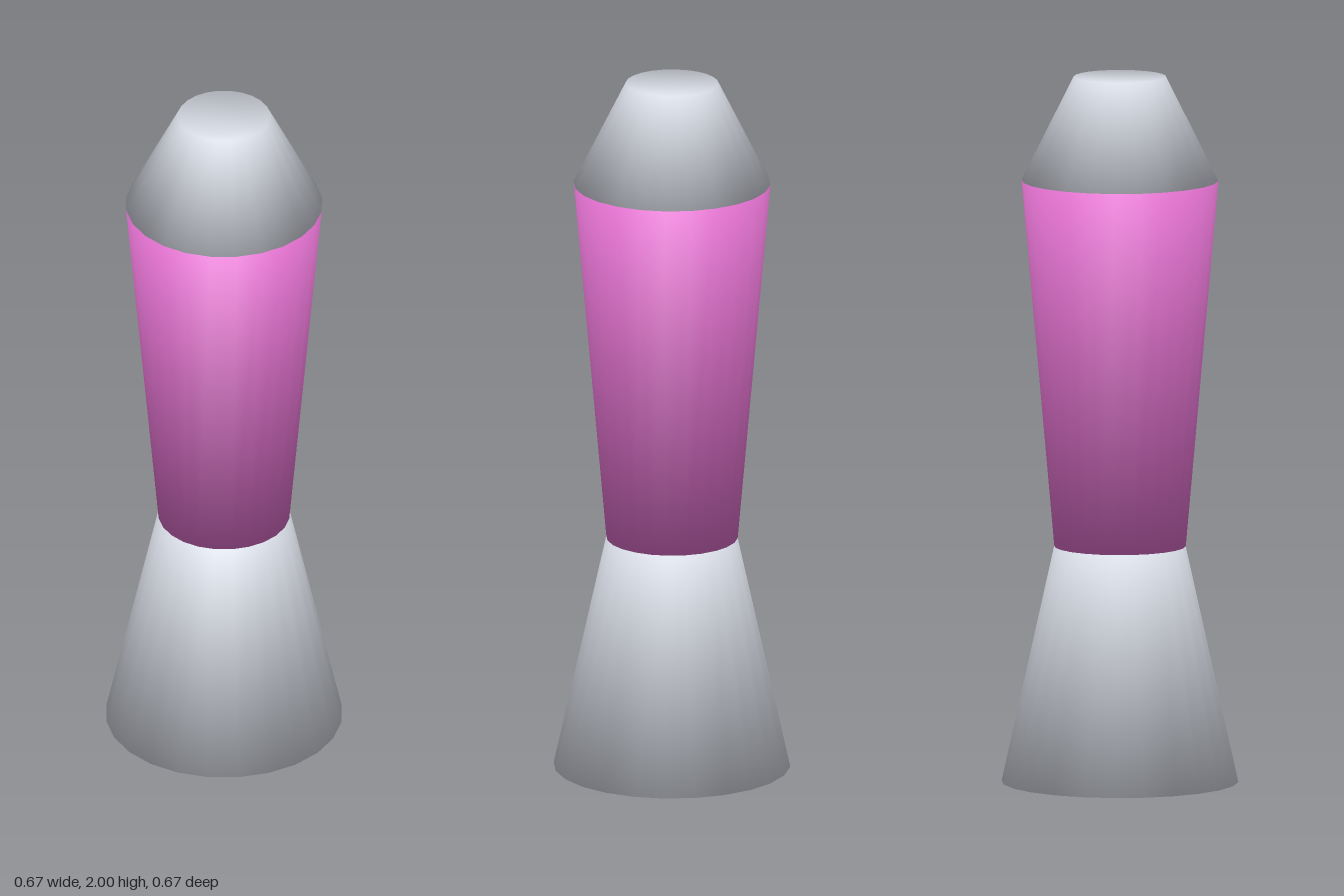
import * as THREE from 'three';

const SIDES = 24;

// Capped frustum with soft normals shared between wall and caps
function frustum(bottomRadius, topRadius, y0, y1) {
  const h = y1 - y0;
  const geo = new THREE.CylinderGeometry(topRadius, bottomRadius, h, SIDES, 1, true);
  geo.translate(0, (y0 + y1) / 2, 0);

  // Close both ends with fans over the rim vertices
  const index = Array.from(geo.index.array);
  const b = SIDES + 1;
  for (let i = 1; i < SIDES - 1; i++) {
    index.push(0, i, i + 1);
    index.push(b, b + i + 1, b + i);
  }
  geo.setIndex(index);

  // Blend each rim normal between the wall and its cap
  const normals = geo.attributes.normal;
  const n = new THREE.Vector3();
  for (let i = 0; i < normals.count; i++) {
    n.fromBufferAttribute(normals, i);
    n.y += i < b ? 0.92 : -0.92;
    n.normalize();
    normals.setXYZ(i, n.x, n.y, n.z);
  }
  return geo;
}

export function createModel() {
  const metal = new THREE.MeshStandardMaterial({ name: 'silver metal', color: 0xd6dae3 });
  const liquid = new THREE.MeshStandardMaterial({ name: 'pink glass', color: 0xe070cd });

  const group = new THREE.Group();
  group.name = 'lavaLamp';

  // name, material, bottom radius, top radius, bottom y, top y
  const parts = [
    ['base', metal, 0.333, 0.185, 0, 0.668],
    ['glassBody', liquid, 0.185, 0.277, 0.668, 1.706],
    ['cap', metal, 0.277, 0.13, 1.706, 2],
  ];
  for (const [name, material, rb, rt, y0, y1] of parts) {
    const mesh = new THREE.Mesh(frustum(rb, rt, y0, y1), material);
    mesh.name = name;
    group.add(mesh);
  }
  return group;
}
